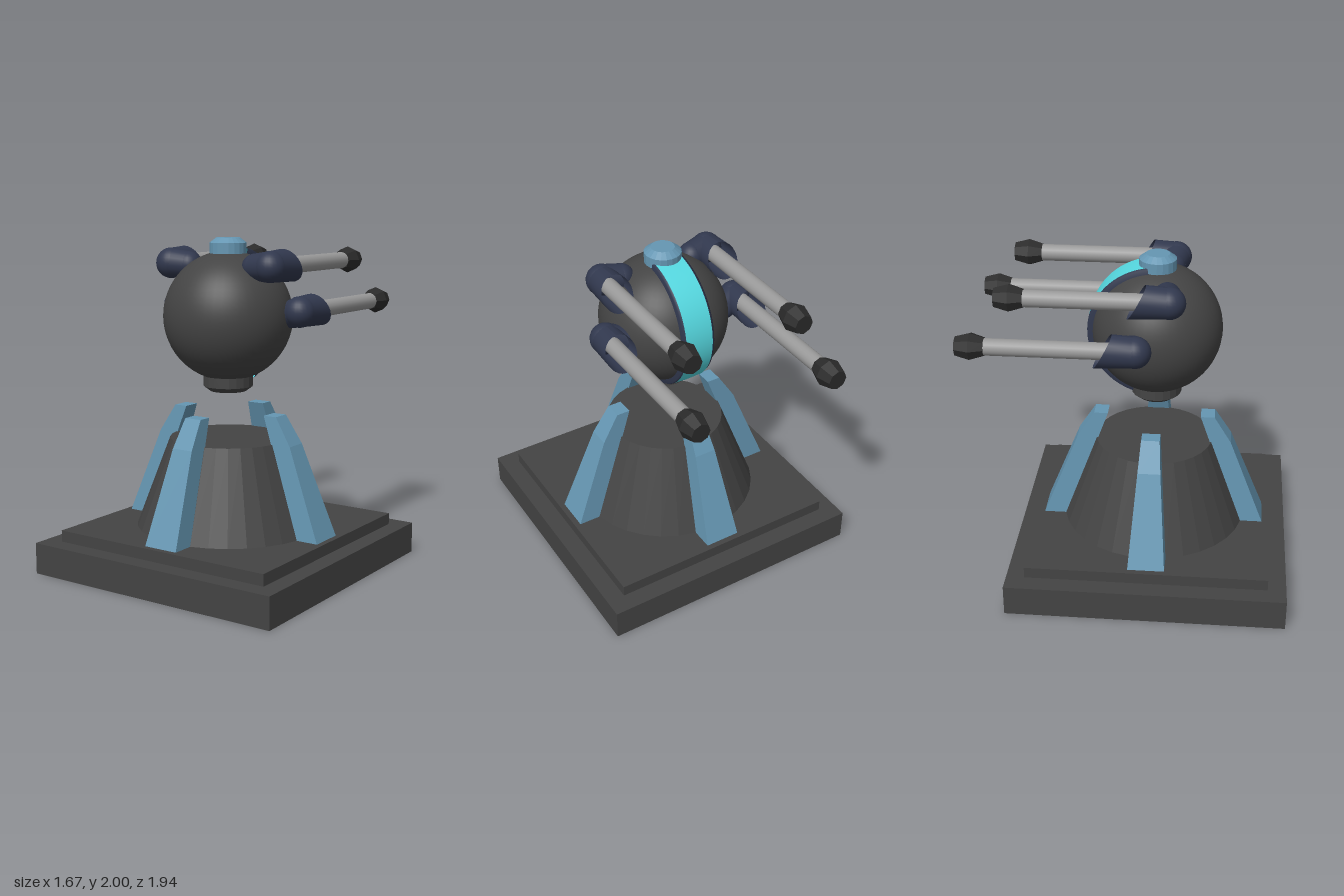
import * as THREE from 'three';

const mat = (color, extra = {}) => new THREE.MeshStandardMaterial({ color, ...extra });
const V = (x, y, z) => new THREE.Vector3(x, y, z);

export function createModel() {
  const model = new THREE.Group();
  const dark = mat(0x444444);
  const darkFlat = mat(0x444444, { flatShading: true });
  const black = mat(0x2b2b2b, { flatShading: true });
  const blue = mat(0x6596b2, { flatShading: true });
  const navy = mat(0x31384e, { side: THREE.DoubleSide });
  const cyan = mat(0x55d8e0, { side: THREE.DoubleSide });
  const grey = mat(0x999999);
  const Z = 0.135; // turret axis

  function add(name, geometry, material, x = 0, y = 0, z = 0, parent = model) {
    const mesh = new THREE.Mesh(geometry, material);
    mesh.name = name;
    mesh.position.set(x, y, z);
    parent.add(mesh);
    return mesh;
  }
  const lathe = (pts, sides) =>
    new THREE.LatheGeometry(pts.map(([r, y]) => new THREE.Vector2(r, y)), sides);

  // Stepped square base and conical pedestal
  add('baseSlab', new THREE.BoxGeometry(1.67, 0.19, 1.67), darkFlat, 0, 0.095, Z);
  add('baseStep', new THREE.BoxGeometry(1.45, 0.07, 1.45), darkFlat, 0, 0.225, Z);
  add('pedestal', new THREE.CylinderGeometry(0.36, 0.565, 0.54, 32), darkFlat, 0, 0.53, Z);

  // Four bent fins, narrowing towards the top
  const finShape = new THREE.Shape([
    [0.55, 0.26], [0.69, 0.26], [0.475, 0.8], [0.37, 0.965], [0.285, 0.965], [0.345, 0.8],
  ].map(([x, y]) => new THREE.Vector2(x, y)));
  const finGeo = new THREE.ExtrudeGeometry(finShape, { depth: 2, bevelEnabled: false });
  finGeo.translate(0, 0, -1);
  const fp = finGeo.attributes.position;
  for (let i = 0; i < fp.count; i++) {
    const t = (fp.getY(i) - 0.26) / 0.705;
    fp.setZ(i, fp.getZ(i) * (0.11 - 0.055 * t));
  }
  finGeo.computeVertexNormals();
  for (let i = 0; i < 4; i++) {
    add('fin', finGeo, blue, 0, 0, Z).rotation.y = i * Math.PI / 2;
  }

  // Floating ball with caps
  const C = V(0, 1.535, 0.145), R = 0.388;
  add('ball', new THREE.SphereGeometry(R, 48, 32), dark, C.x, C.y, C.z);
  add('topCap', lathe([[0, 1.88], [0.11, 1.88], [0.11, 1.97], [0.07, 2], [0, 2]], 20), blue, 0, 0, C.z);
  add('bottomCap', lathe([[0, 1.085], [0.11, 1.085], [0.15, 1.115], [0.15, 1.2], [0, 1.2]], 20), darkFlat, 0, 0, C.z);

  // Glowing band over the back of the ball, with a dark rim on each side
  function band(name, profile, material) {
    const start = 0.13, sweep = Math.PI - 0.48;
    const g = new THREE.LatheGeometry(profile.map(([r, x]) => new THREE.Vector2(r, x)), 40, start, sweep);
    // turn the lathe axis to x, so the sweep runs from the top down the back
    const p = g.attributes.position, n = g.attributes.normal;
    for (const a of [p, n]) {
      for (let i = 0; i < a.count; i++) {
        a.setXYZ(i, a.getY(i), a.getZ(i), -a.getX(i));
      }
    }
    add(name, g, material, C.x, C.y, C.z);
  }
  band('band', [[0.408, -0.088], [0.411, 0], [0.408, 0.088]], cyan);
  for (const s of [-1, 1]) {
    band('bandRim', [[0.408, s * 0.088], [0.402, s * 0.102], [0.36, s * 0.104]], navy);
  }

  // Cylinder between two points
  function rod(name, a, b, ra, rb, sides, material, parent) {
    const d = b.clone().sub(a);
    const m = add(name, new THREE.CylinderGeometry(rb, ra, d.length(), sides), material, 0, 0, 0, parent);
    m.position.copy(a).add(b).multiplyScalar(0.5);
    m.quaternion.setFromUnitVectors(V(0, 1, 0), d.normalize());
  }

  // Sleeve along -z with a slanted open mouth
  function sleeveGeometry(length) {
    const g = new THREE.CylinderGeometry(0.098, 0.09, 1, 24, 1, true);
    g.rotateX(-Math.PI / 2).translate(0, 0, -0.5);
    const p = g.attributes.position;
    for (let i = 0; i < p.count; i++) {
      if (p.getZ(i) < -0.5) p.setZ(i, -length + p.getY(i) * 0.55);
    }
    g.computeVertexNormals();
    return g;
  }

  // Gun: elbow ball, stub into the main ball, sleeve, barrel and muzzle
  function gun(name, elbow, root, sleeveLength, tipZ) {
    const g = new THREE.Group();
    g.name = name;
    model.add(g);
    add('elbow', new THREE.SphereGeometry(0.092, 24, 16), navy, elbow.x, elbow.y, elbow.z, g);
    rod('stub', elbow, root, 0.09, 0.08, 24, navy, g);
    add('stubEnd', new THREE.SphereGeometry(0.08, 24, 16), navy, root.x, root.y, root.z, g);
    add('sleeve', sleeveGeometry(sleeveLength), navy, elbow.x, elbow.y, elbow.z, g);
    rod('barrel', elbow, V(elbow.x, elbow.y, tipZ + 0.1), 0.05, 0.05, 20, grey, g);
    const muzzle = lathe([[0, 0], [0.056, 0], [0.082, 0.08], [0.058, 0.165], [0, 0.165]], 8);
    add('muzzle', muzzle, black, elbow.x, elbow.y, tipZ + 0.165, g).rotation.x = -Math.PI / 2;
  }
  for (const s of [-1, 1]) {
    gun('upperGun', V(s * 0.355, 1.843, 0.235), V(s * 0.24, 1.835, 0.215), 0.185, -0.75);
    gun('lowerGun', V(s * 0.442, 1.575, 0.05), V(s * 0.34, 1.55, 0.02), 0.185, -0.97);
  }
  return model;
}
